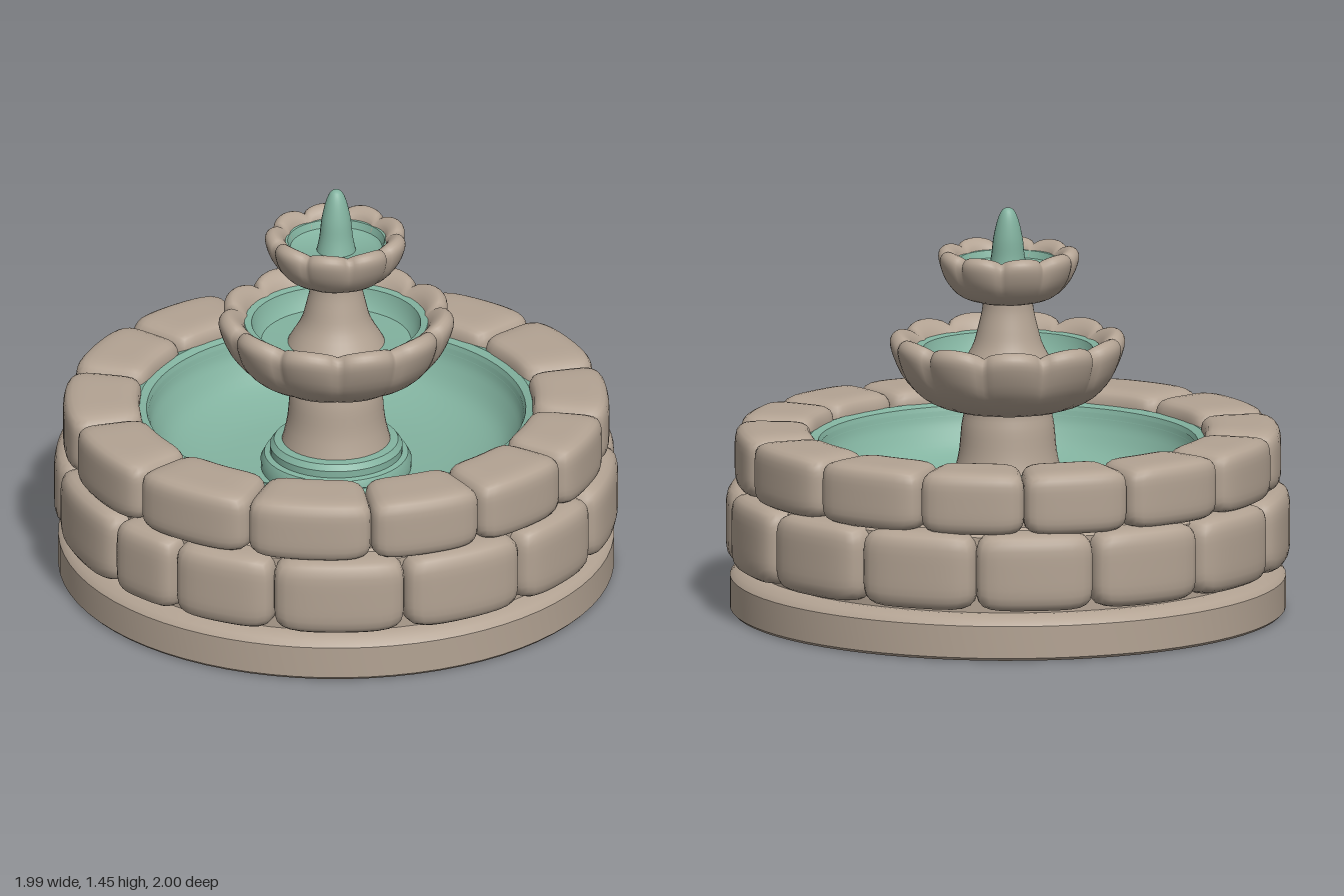
import * as THREE from 'three';
import { mergeVertices, toCreasedNormals } from 'three/addons/utils/BufferGeometryUtils.js';

const RAD = Math.PI / 180;

// Weld seams so that the surface shades smoothly
function smooth(geo) {
  geo.deleteAttribute('uv');
  geo.deleteAttribute('normal');
  const g = mergeVertices(geo, 1e-4);
  g.computeVertexNormals();
  return g;
}

function warp(geo, rule) {
  const p = geo.attributes.position, v = new THREE.Vector3();
  for (let i = 0; i < p.count; i++) {
    rule(v.fromBufferAttribute(p, i));
    p.setXYZ(i, v.x, v.y, v.z);
  }
  return geo;
}

const pts = list => list.map(([r, y]) => new THREE.Vector2(r, y));

function lathe(list, segments = 64) {
  return toCreasedNormals(new THREE.LatheGeometry(pts(list), segments), 0.6);
}

// Smooth curve through the profile, turned round the axis
function turned(list, segments = 72, divisions = 24) {
  const curve = new THREE.SplineCurve(pts(list));
  return new THREE.LatheGeometry(curve.getPoints(divisions), segments);
}

// Pillow-shaped block bent round the axis between two angles
function stoneBlock(a0, a1, r0, r1, y0, y1) {
  const k = 5.5;
  const geo = new THREE.BoxGeometry(2, 2, 2, 10, 10, 10);
  warp(geo, v => {
    const n = (Math.abs(v.x) ** k + Math.abs(v.y) ** k + Math.abs(v.z) ** k) ** (1 / k);
    v.divideScalar(n);
    const a = ((a0 + a1) / 2 + v.x * (a1 - a0) / 2) * RAD;
    const r = (r0 + r1) / 2 + v.z * (r1 - r0) / 2;
    v.set(Math.sin(a) * r, (y0 + y1) / 2 + v.y * (y1 - y0) / 2, Math.cos(a) * r);
  });
  return smooth(geo);
}

// Bowl whose wall and rim swell into petals
function petalBowl(profile, petals, depth, dip, yLow, yHigh) {
  const geo = turned(profile, petals * 10, 32);
  warp(geo, v => {
    const a = Math.atan2(v.x, v.z);
    const valley = 1 - Math.sqrt(Math.abs(Math.cos(a * petals / 2)) + 0.02);
    const t = THREE.MathUtils.smoothstep(v.y, yLow, yHigh);
    const s = 1 - depth * valley * (0.35 + 0.65 * t);
    v.set(v.x * s, v.y - dip * valley * t, v.z * s);
  });
  return smooth(geo);
}

export function createModel() {
  const model = new THREE.Group();
  const stone = new THREE.MeshStandardMaterial({ color: 0xb3a393 });
  stone.name = 'warm stone';
  const water = new THREE.MeshStandardMaterial({ color: 0x82b29f });
  water.name = 'green water';

  function add(name, geo, material, parent = model) {
    const mesh = new THREE.Mesh(geo, material);
    mesh.name = name;
    parent.add(mesh);
    return mesh;
  }

  // Foot slab
  add('baseSlab', lathe([[0, 0], [0.975, 0], [0.985, 0.01], [0.985, 0.125],
    [0.97, 0.145], [0.93, 0.16], [0, 0.16]], 72), stone);

  // Core behind the blocks
  add('wallCore', lathe([[0.91, 0.15], [0.91, 0.43], [0.87, 0.46], [0.87, 0.6], [0.7, 0.6]]), stone);

  // Two courses of blocks, staggered; numbers are the joint angles
  const courses = [
    { name: 'lowerBlock', r0: 0.7, r1: 1.0, y0: 0.17, y1: 0.452,
      joints: [-63.5, -34.6, -5, 12, 34.6, 63, 90.6, 115, 143, 168.5, 194, 219.5, 245, 270.5] },
    { name: 'upperBlock', r0: 0.695, r1: 0.968, y0: 0.44, y1: 0.668,
      joints: [0.5, 28.5, 56, 81, 105.5, 129, 154.5, 181.5, 207, 230, 253.5, 278.5, 304.5, 333] },
  ];
  for (const c of courses) {
    const ring = new THREE.Group();
    ring.name = c.name + 'Course';
    model.add(ring);
    c.joints.forEach((a, i) => {
      const next = i + 1 < c.joints.length ? c.joints[i + 1] : c.joints[0] + 360;
      add(c.name, stoneBlock(a - 0.15, next + 0.15, c.r0, c.r1, c.y0, c.y1), stone, ring);
    });
  }

  // Pool: rim lip, sloping side and floor
  add('poolRim', lathe([[0.75, 0.5], [0.74, 0.6], [0.7, 0.615], [0.672, 0.605], [0.66, 0.57]], 72), water);
  add('pool', smooth(turned([[0.665, 0.59], [0.645, 0.53], [0.58, 0.45], [0.45, 0.4],
    [0.3, 0.38], [0.2, 0.375]])), water);

  // Stepped collar round the pedestal
  add('collar', lathe([[0.265, 0.36], [0.268, 0.41], [0.255, 0.435], [0.235, 0.44],
    [0.235, 0.465], [0.22, 0.485], [0.19, 0.49], [0.12, 0.49]], 48), water);

  // Pedestal and stem
  add('pedestal', smooth(turned([[0.2, 0.46], [0.175, 0.56], [0.165, 0.66], [0.155, 0.72], [0.16, 0.77]], 40, 14)), stone);
  add('stem', smooth(turned([[0.19, 0.83], [0.165, 0.88], [0.125, 0.95], [0.105, 1.02],
    [0.09, 1.09], [0.09, 1.15]], 40, 16)), stone);

  // Middle bowl with its lining
  add('middleBowl', petalBowl([[0.05, 0.725], [0.19, 0.725], [0.3, 0.765], [0.375, 0.84], [0.415, 0.93],
    [0.415, 0.975], [0.385, 0.995], [0.345, 0.97], [0.315, 0.92], [0.28, 0.85], [0.1, 0.83]],
  11, 0.1, 0.035, 0.74, 0.95), stone);
  add('middleWater', lathe([[0.34, 0.925], [0.325, 0.945], [0.3, 0.94], [0.285, 0.89], [0.265, 0.87], [0.1, 0.865]], 56), water);

  // Top bowl with its water
  add('topBowl', petalBowl([[0.03, 1.11], [0.1, 1.11], [0.175, 1.135], [0.225, 1.19], [0.25, 1.25],
    [0.248, 1.285], [0.222, 1.3], [0.19, 1.28], [0.172, 1.24], [0.15, 1.2], [0.05, 1.19]],
  9, 0.11, 0.025, 1.12, 1.27), stone);
  add('topWater', lathe([[0.195, 1.25], [0.187, 1.262], [0.172, 1.26], [0.162, 1.235], [0.145, 1.225], [0, 1.222]], 48), water);

  // Water jet, leaning slightly
  const jet = turned([[0.075, 1.2], [0.06, 1.27], [0.052, 1.34], [0.037, 1.405], [0.02, 1.441], [0.0001, 1.45]], 24, 20);
  warp(jet, v => {
    const t = (v.y - 1.2) / 0.25;
    v.x -= 0.013 * t;
    v.z -= 0.012 * t;
  });
  add('waterJet', smooth(jet), water);

  // Irregular green patch on the underside
  const patch = [[-0.49, -0.45], [-0.16, -0.39], [0.12, -0.44], [0.75, 0.01], [0.34, 0.36], [-0.11, 0.32], [-0.28, 0.12]];
  const shape = new THREE.Shape(patch.map(([u, v]) => new THREE.Vector2((-u - v) * 0.707, (v - u) * 0.707)));
  const patchMesh = add('undersidePatch', new THREE.ShapeGeometry(shape), water);
  patchMesh.rotation.x = Math.PI / 2;
  patchMesh.position.y = -0.002;

  return model;
}
